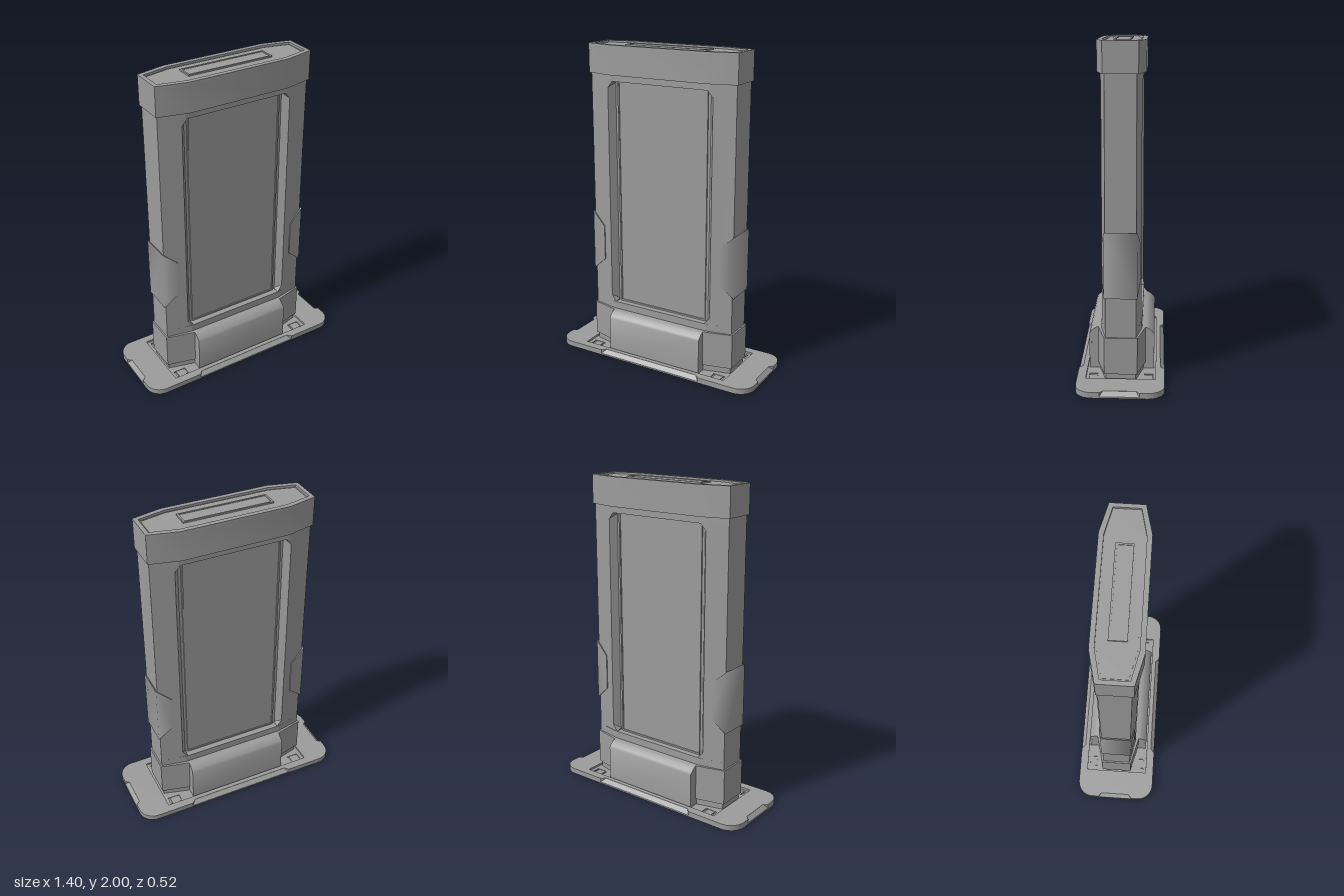
import * as THREE from 'three';
import { ConvexGeometry } from 'three/addons/geometries/ConvexGeometry.js';
import { toCreasedNormals } from 'three/addons/utils/BufferGeometryUtils.js';

const grey = new THREE.MeshStandardMaterial({ color: 0x9c9c9c, side: THREE.DoubleSide });

const V = (x, y, z) => new THREE.Vector3(x, y, z);
const toPts = (a) => a.map(([x, y]) => new THREE.Vector2(x, y));

// mirror a quarter outline (from the +x end to the centre, z > 0) to a full loop
function fourWay(q) {
  const r = [...q].reverse();
  return [...q, ...r.map(([x, z]) => [-x, z]), ...q.map(([x, z]) => [-x, -z]), ...r.map(([x, z]) => [x, -z])];
}
const rect = (w, d, cx = 0, cz = 0) => [[cx + w, cz - d], [cx + w, cz + d], [cx - w, cz + d], [cx - w, cz - d]];

// upright prism from a plan outline with optional holes
function prism(outline, y0, y1, holes = []) {
  const s = new THREE.Shape(toPts(outline));
  holes.forEach((h) => s.holes.push(new THREE.Path(toPts(h))));
  const g = new THREE.ExtrudeGeometry(s, { depth: y1 - y0, bevelEnabled: false });
  return g.rotateX(-Math.PI / 2).translate(0, y0, 0);
}

// prism along x from a (z, y) side profile
function sidePrism(profile, width, cx = 0) {
  const g = new THREE.ExtrudeGeometry(new THREE.Shape(toPts(profile)), { depth: width, bevelEnabled: false });
  return g.translate(0, 0, -width / 2).rotateY(-Math.PI / 2).translate(cx, 0, 0);
}

export function createModel() {
  const model = new THREE.Group();
  const add = (name, geometry, parent = model) => {
    const m = new THREE.Mesh(geometry, grey);
    m.name = name;
    parent.add(m);
  };

  // base plate: rounded corners, upper layers notched on all four edges
  const corner = [];
  for (let i = 0; i <= 8; i++) {
    const a = (i / 8) * Math.PI / 2;
    corner.push([0.6 + 0.1 * Math.cos(a), 0.16 + 0.1 * Math.sin(a)]);
  }
  const plain = fourWay(corner);
  const notched = fourWay([[0.675, 0.095], [0.7, 0.115], ...corner, [0.36, 0.26], [0.335, 0.235]]);
  const well = fourWay([[0.49, 0.085], [0.32, 0.13], [0.32, 0.182]]);
  const sockets = [];
  for (const sx of [-1, 1]) for (const sz of [-1, 1]) sockets.push(rect(0.039, 0.025, sx * 0.45, sz * 0.165));
  add('basePlateEdge', prism(plain, 0, 0.01, [well, ...sockets]));
  add('basePlateFloor', prism(notched, 0.01, 0.022, [well, ...sockets]));
  add('basePlateRim', prism(notched, 0.022, 0.035, [rect(0.512, 0.207)]));

  // sloped notches in the plate edges
  for (const s of [-1, 1]) {
    add('longEdgeSlope', new ConvexGeometry([
      V(-0.36, 0.01, s * 0.26), V(0.36, 0.01, s * 0.26), V(-0.335, 0.01, s * 0.235),
      V(0.335, 0.01, s * 0.235), V(-0.335, 0.034, s * 0.235), V(0.335, 0.034, s * 0.235)]));
    add('shortEdgeSlope', new ConvexGeometry([
      V(s * 0.7, 0.01, -0.115), V(s * 0.7, 0.01, 0.115), V(s * 0.675, 0.01, -0.095),
      V(s * 0.675, 0.01, 0.095), V(s * 0.675, 0.034, -0.095), V(s * 0.675, 0.034, 0.095)]));
  }

  // closed corner sockets, each with a small clip
  sockets.forEach((outline, i) => {
    const sx = i < 2 ? -1 : 1, sz = i % 2 ? 1 : -1;
    add('socketFloor', prism(outline, 0.008, 0.014));
    add('socketClip', prism(rect(0.026, 0.024, sx * 0.45, sz * 0.165), 0.014, 0.02));
  });

  // body: full section at both ends, deep screen recess with sloped sides in between
  const full = fourWay([[0.5, 0.09], [0.34, 0.123]]);
  const recessed = fourWay([[0.5, 0.09], [0.362, 0.118], [0.33, 0.078]]);
  add('bodyBottom', prism(full, 0.25, 0.335));
  add('bodyMiddle', prism(recessed, 0.335, 1.78));
  add('bodyTop', prism(full, 1.78, 1.83));

  // tapered ends of the sloped recess sides
  for (const sx of [-1, 1]) for (const sz of [-1, 1]) for (const [y, dy] of [[0.335, 0.04], [1.78, -0.04]]) {
    add('recessCorner', new ConvexGeometry([
      V(sx * 0.362, y, sz * 0.118), V(sx * 0.362, y + dy, sz * 0.118),
      V(sx * 0.328, y, sz * 0.122), V(sx * 0.328, y + dy * 0.25, sz * 0.078), V(sx * 0.328, y, sz * 0.078)]));
  }

  // collars around both ends of the foot, hollow inside
  const collar = (x, z, k) => [
    [k * 0.33, z], [k * x, z - 0.045], [k * x, 0.045 - z], [k * 0.33, -z],
    [k * 0.33, -0.118], [k * 0.485, -0.082], [k * 0.485, 0.082], [k * 0.33, 0.118]];
  for (const k of [-1, 1]) {
    add('footCollar', prism(collar(0.51, 0.143, k), 0.062, 0.288));
    add('footCollarBase', prism(collar(0.497, 0.133, k), 0.015, 0.062));
  }

  // softly shaded side grips wrapped around the ends of the body
  for (const k of [-1, 1]) {
    const p = [];
    for (const z of [-1, 1]) {
      p.push(V(k * 0.51, 0.53, z * 0.097), V(k * 0.51, 0.925, z * 0.097));
      p.push(V(k * 0.415, 0.615, z * 0.114), V(k * 0.415, 0.84, z * 0.114));
    }
    add('sideGrip', toCreasedNormals(new ConvexGeometry(p), 1.48));
  }

  // both faces: screen with its frame, and the foot cover
  for (const name of ['front', 'back']) {
    const face = new THREE.Group();
    face.name = name + 'Face';
    if (name === 'back') face.rotation.y = Math.PI;
    model.add(face);

    const frame = new THREE.Shape(toPts(rect(0.313, 0.7225)));
    frame.holes.push(new THREE.Path(toPts(rect(0.303, 0.7125))));
    add('screenFrame', new THREE.ExtrudeGeometry(frame, { depth: 0.016, bevelEnabled: false })
      .translate(0, 1.0575, 0.07), face);
    add('screen', new THREE.BoxGeometry(0.606, 1.425, 0.01).translate(0, 1.0575, 0.075), face);

    const cover = sidePrism([
      [0.11, 0.288], [0.148, 0.288], [0.165, 0.279], [0.188, 0.26], [0.197, 0.245], [0.197, 0.02],
      [0.184, 0.02], [0.184, 0.24], [0.145, 0.272], [0.11, 0.272]], 0.66);
    add('footCover', toCreasedNormals(cover, 0.7), face);
    for (const s of [-1, 1]) {
      add('footCoverEnd', sidePrism([
        [0.118, 0.285], [0.147, 0.285], [0.186, 0.257], [0.196, 0.244], [0.196, 0.02], [0.118, 0.02]],
      0.012, s * 0.323), face);
    }
  }

  // top cap with a recessed lid and a framed slot
  const capOuter = fourWay([[0.51, 0.1], [0.33, 0.143]]);
  const capInner = fourWay([[0.485, 0.077], [0.32, 0.114]]);
  add('cap', toCreasedNormals(prism(capOuter, 1.82, 1.986), 0.5));
  add('capRim', toCreasedNormals(prism(capOuter, 1.986, 2, [capInner]), 0.5));
  add('lid', prism(fourWay([[0.475, 0.068], [0.318, 0.104]]), 1.98, 1.99));
  add('slotFrame', prism(rect(0.275, 0.05), 1.985, 1.999, [rect(0.264, 0.04)]));
  add('slotPanel', prism(rect(0.264, 0.04), 1.985, 1.995));

  return model;
}
